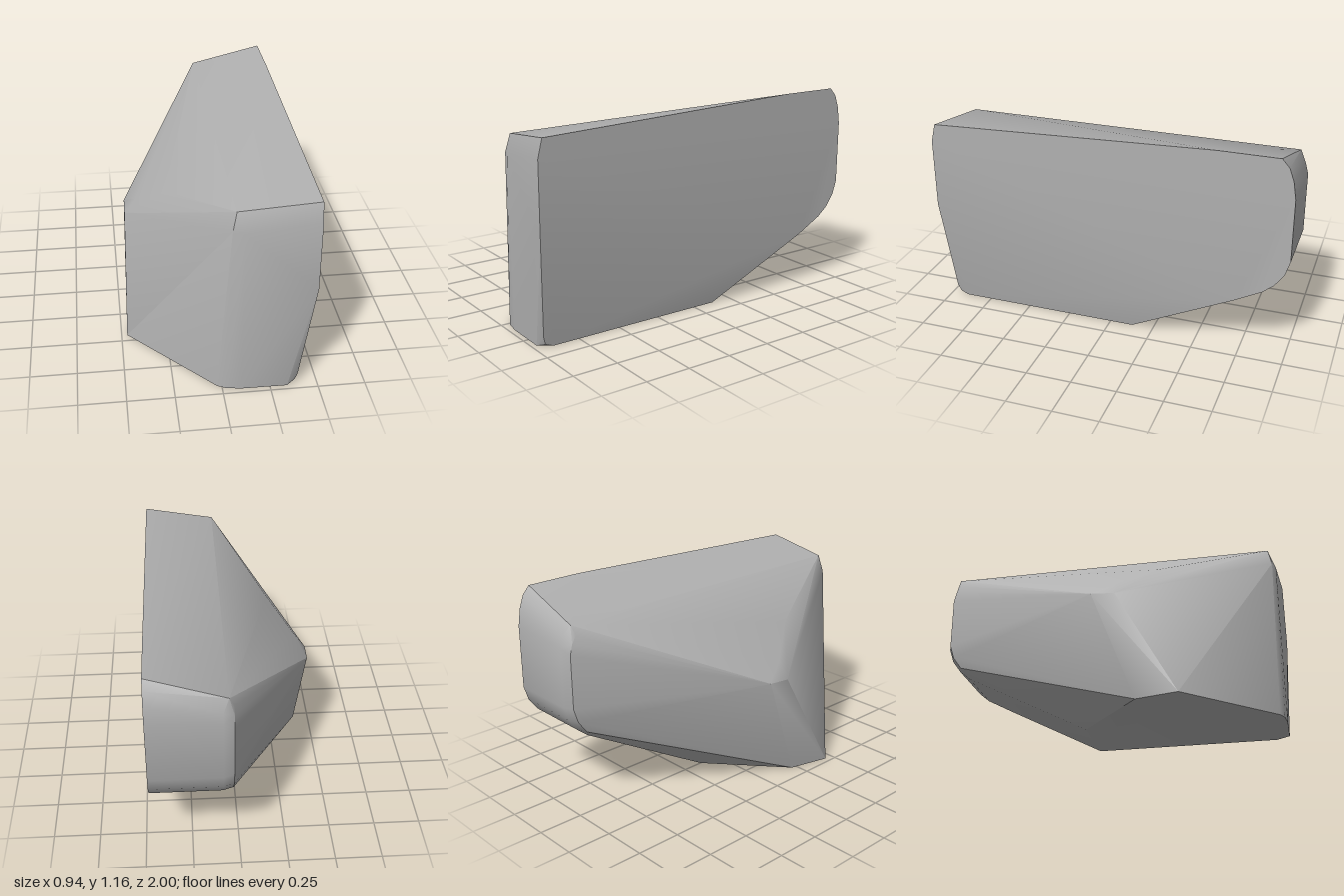
import * as THREE from 'three';
import { ConvexGeometry } from 'three/addons/geometries/ConvexGeometry.js';
import { toCreasedNormals } from 'three/addons/utils/BufferGeometryUtils.js';

const SIDE = 0.467; // flat side plane

export function createModel() {
  const grey = new THREE.MeshStandardMaterial({ color: 0xb0b0b0 });
  grey.name = 'stone grey';
  const points = [];
  const add = (...list) => list.forEach((p) => points.push(new THREE.Vector3(...p)));

  // rounded back end: [y, z] profile on the flat side, repeated at the inner corner
  const back = [[1.16, -0.92], [1.115, -0.96], [1.045, -0.985], [0.95, -1],
    [0.6, -1], [0.52, -0.975], [0.45, -0.925], [0.4, -0.865]];
  back.forEach(([y, z], i) => {
    const innerY = y > 0.9 ? y - 0.105 * (y - 0.9) / 0.26 : y;
    add([SIDE, y, z], [0.09, innerY, z]);
    if (i > 0 && i < 7) add([0.035, innerY - (y > 0.9 ? 0.03 : 0), z + 0.022]);
  });
  add([0.06, 1.05, -0.95], [0.02, 0.93, -0.93]);

  // top edge of the flat side, and the front face
  add([SIDE, 1.16, -0.6], [SIDE, 1.1, 0.975], [SIDE, 1.0, 1], [SIDE, 0.62, 1],
    [0.062, 1.05, 0.935], [0.04, 0.95, 0.955], [0.1, 0.95, 0.975],
    [-0.025, 0, 0.935], [0.02, 0, 0.958], [0.1, 0, 0.97]);

  // bevelled lower side and flat base
  add([SIDE, 0.32, -0.715], [0.392, 0, -0.13], [0.395, 0.06, 0.96],
    [0.385, 0.015, 0.945], [0.34, 0, 0.972], [0.39, 0, 0.9],
    [0, 0, -0.13], [-0.41, 0, 0.22], [-0.469, 0, 0.45]);

  // pointed flank and the ridge climbing to the top
  add([-0.443, 0.61, -0.01], [-0.446, 0.6, 0.12], [-0.38, 0.69, 0.12], [-0.23, 0.835, 0.32]);

  const geometry = toCreasedNormals(new ConvexGeometry(points), THREE.MathUtils.degToRad(32));
  const block = new THREE.Mesh(geometry, grey);
  block.name = 'stoneBlock';
  const model = new THREE.Group();
  model.name = 'facetedStone';
  model.add(block);
  return model;
}
